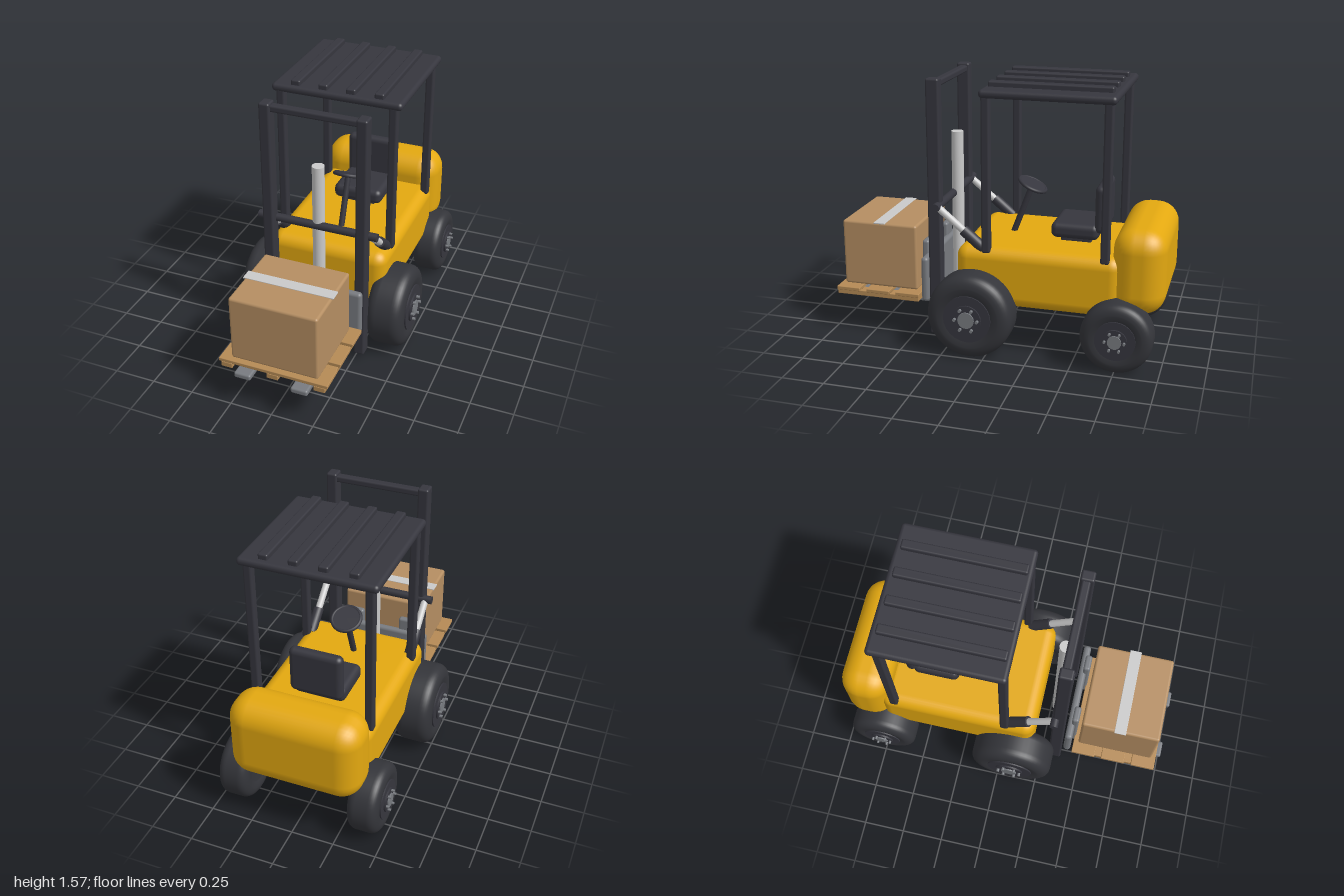
import * as THREE from 'three';
import { RoundedBoxGeometry } from 'three/addons/geometries/RoundedBoxGeometry.js';

const mat = (name, color) => new THREE.MeshStandardMaterial({ name, color });

export function createModel() {
  const root = new THREE.Group();
  root.name = 'forklift';
  const yellow = mat('yellow paint', 0xe3a810);
  const dark = mat('dark frame', 0x36363e);
  const rubber = mat('rubber', 0x34353a);
  const steel = mat('steel', 0x787b80);
  const chrome = mat('chrome', 0xcacaca);
  const cardboard = mat('cardboard', 0xb58e62);
  const wood = mat('pallet wood', 0xb58a55);

  const add = (name, geometry, material, parent = root) => {
    const mesh = new THREE.Mesh(geometry, material);
    mesh.name = name;
    parent.add(mesh);
    return mesh;
  };
  // Rounded box from its extents on each axis
  const box = (name, material, [x0, x1], [y0, y1], [z0, z1], r = 0.01, parent = root) => {
    const mesh = add(name, new RoundedBoxGeometry(x1 - x0, y1 - y0, z1 - z0, 4, r), material, parent);
    mesh.position.set((x0 + x1) / 2, (y0 + y1) / 2, (z0 + z1) / 2);
    return mesh;
  };
  // Cylinder between two points
  const rod = (name, material, a, b, r, parent = root) => {
    const p = new THREE.Vector3(...a), q = new THREE.Vector3(...b);
    const dir = q.clone().sub(p);
    const mesh = add(name, new THREE.CylinderGeometry(r, r, dir.length(), 24), material, parent);
    mesh.position.copy(p).add(q).multiplyScalar(0.5);
    mesh.quaternion.setFromUnitVectors(new THREE.Vector3(0, 1, 0), dir.normalize());
    return mesh;
  };
  const centred = (c, w) => [c - w / 2, c + w / 2];

  // Chassis and counterweight
  box('body', yellow, [-0.365, 0.365], [0.275, 0.63], [-0.76, 0.2], 0.07);
  box('counterweight', yellow, [-0.385, 0.385], [0.305, 0.8], [-1, -0.7], 0.125);

  // Wheels: tyre lathed about its axle, with rim rings, hub and studs
  const makeWheel = (name, side, z, R, inner, outer, k) => {
    const wheel = new THREE.Group();
    wheel.name = name;
    const half = (outer - inner) / 2;
    const profile = new THREE.Shape();
    profile.moveTo(0, -half * 0.85);
    profile.lineTo(R * 0.5, -half * 0.9);
    profile.quadraticCurveTo(R * 0.62, -half, R * 0.74, -half);
    profile.bezierCurveTo(R * 0.92, -half * 0.95, R, -half * 0.72, R, -half * 0.4);
    profile.lineTo(R, half * 0.4);
    profile.bezierCurveTo(R, half * 0.72, R * 0.92, half * 0.95, R * 0.74, half);
    profile.quadraticCurveTo(R * 0.62, half, R * 0.5, half * 0.9);
    profile.lineTo(0, half * 0.85);
    add('tyre', new THREE.LatheGeometry(profile.getPoints(8), 48), rubber, wheel);
    const disc = (part, m, r, y0, y1, x = 0, zz = 0) =>
      rod(part, m, [x, y0, zz], [x, y1, zz], r, wheel);
    disc('rim', dark, 0.14 * k, half * 0.5, half + 0.002);
    disc('hubPlate', dark, 0.086 * k, half * 0.5, half + 0.012);
    disc('hub', steel, 0.048 * k, half * 0.5, half + 0.02);
    for (let i = 0; i < 6; i++) {
      const a = (i / 6) * Math.PI * 2 + Math.PI / 6;
      disc('stud', steel, 0.009 * k, half * 0.5, half + 0.03, Math.cos(a) * 0.067 * k, Math.sin(a) * 0.067 * k);
    }
    wheel.rotation.z = -side * Math.PI / 2;
    wheel.position.set(side * (inner + outer) / 2, R, z);
    root.add(wheel);
  };

  for (const s of [-1, 1]) {
    makeWheel('frontWheel', s, 0.085, 0.25, 0.29, 0.515, 1);
    makeWheel('rearWheel', s, -0.755, 0.205, 0.3, 0.48, 0.82);

    // Cab posts
    box('frontPost', dark, centred(s * 0.338, 0.05), [0.6, 1.51], [-0.007, 0.043], 0.012);
    box('rearPost', dark, centred(s * 0.338, 0.05), [0.6, 1.51], [-0.69, -0.64], 0.012);

    // Mast upright and tilt ram
    box('mastUpright', dark, centred(s * 0.281, 0.064), [0.04, 1.575], [0.3, 0.378], 0.012);
    rod('tiltBarrel', dark, [s * 0.32, 0.615, 0.04], [s * 0.32, 0.715, 0.16], 0.032);
    rod('tiltRod', chrome, [s * 0.32, 0.7, 0.145], [s * 0.32, 0.84, 0.315], 0.021);

    // Fork: shank and blade
    box('forkShank', steel, centred(s * 0.17, 0.1), [0.2, 0.59], [0.41, 0.452], 0.015);
    box('forkBlade', steel, centred(s * 0.17, 0.1), [0.2, 0.236], [0.41, 1], 0.012);
  }

  // Roof with ribs
  box('roof', dark, [-0.39, 0.39], [1.495, 1.542], [-0.71, 0.05], 0.022);
  for (const x of [-0.25, -0.083, 0.083, 0.25])
    box('roofRib', dark, centred(x, 0.056), [1.53, 1.572], [-0.675, 0.025], 0.01);

  // Mast cross bars and lift cylinder
  box('mastTopBar', dark, [-0.27, 0.27], [1.522, 1.562], [0.31, 0.36], 0.012);
  box('mastBottomBar', dark, [-0.27, 0.27], [0.092, 0.136], [0.315, 0.365], 0.012);
  rod('mastTiltBar', dark, [-0.362, 0.842, 0.315], [0.362, 0.842, 0.315], 0.024);
  rod('liftCylinder', chrome, [0, 0.143, 0.295], [0, 1.215, 0.295], 0.036);
  box('carriage', steel, [-0.31, 0.31], [0.237, 0.513], [0.387, 0.432], 0.02);

  // Seat
  box('seatCushion', dark, [-0.155, 0.155], [0.655, 0.747], [-0.59, -0.31], 0.035);
  box('seatMount', dark, [-0.1, 0.1], [0.61, 0.67], [-0.54, -0.36], 0.01);
  box('seatBack', dark, [-0.157, 0.157], [0.7, 0.982], [-0.632, -0.565], 0.032);

  // Steering column and wheel
  rod('steeringColumn', dark, [0, 0.62, -0.053], [0, 0.925, -0.166], 0.018);
  const steering = rod('steeringWheel', dark, [0, 0.915, -0.163], [0, 0.93, -0.17], 0.083);
  const rim = add('steeringRim', new THREE.TorusGeometry(0.083, 0.011, 10, 36), dark);
  rim.position.copy(steering.position);
  rim.quaternion.copy(steering.quaternion).multiply(
    new THREE.Quaternion().setFromAxisAngle(new THREE.Vector3(1, 0, 0), Math.PI / 2));

  // Pallet: three stringers under three deck boards
  for (const x of [-0.277, 0, 0.277])
    box('palletStringer', wood, centred(x, 0.068), [0.232, 0.264], [0.45, 0.97], 0.004);
  for (const z of [0.517, 0.705, 0.895])
    box('palletBoard', wood, [-0.325, 0.325], [0.262, 0.284], centred(z, 0.146), 0.004);

  // Carton and tape
  box('carton', cardboard, [-0.26, 0.26], [0.284, 0.686], [0.473, 0.94], 0.015);
  box('cartonTape', chrome, [-0.268, 0.268], [0.682, 0.69], [0.668, 0.738], 0.002);

  return root;
}
